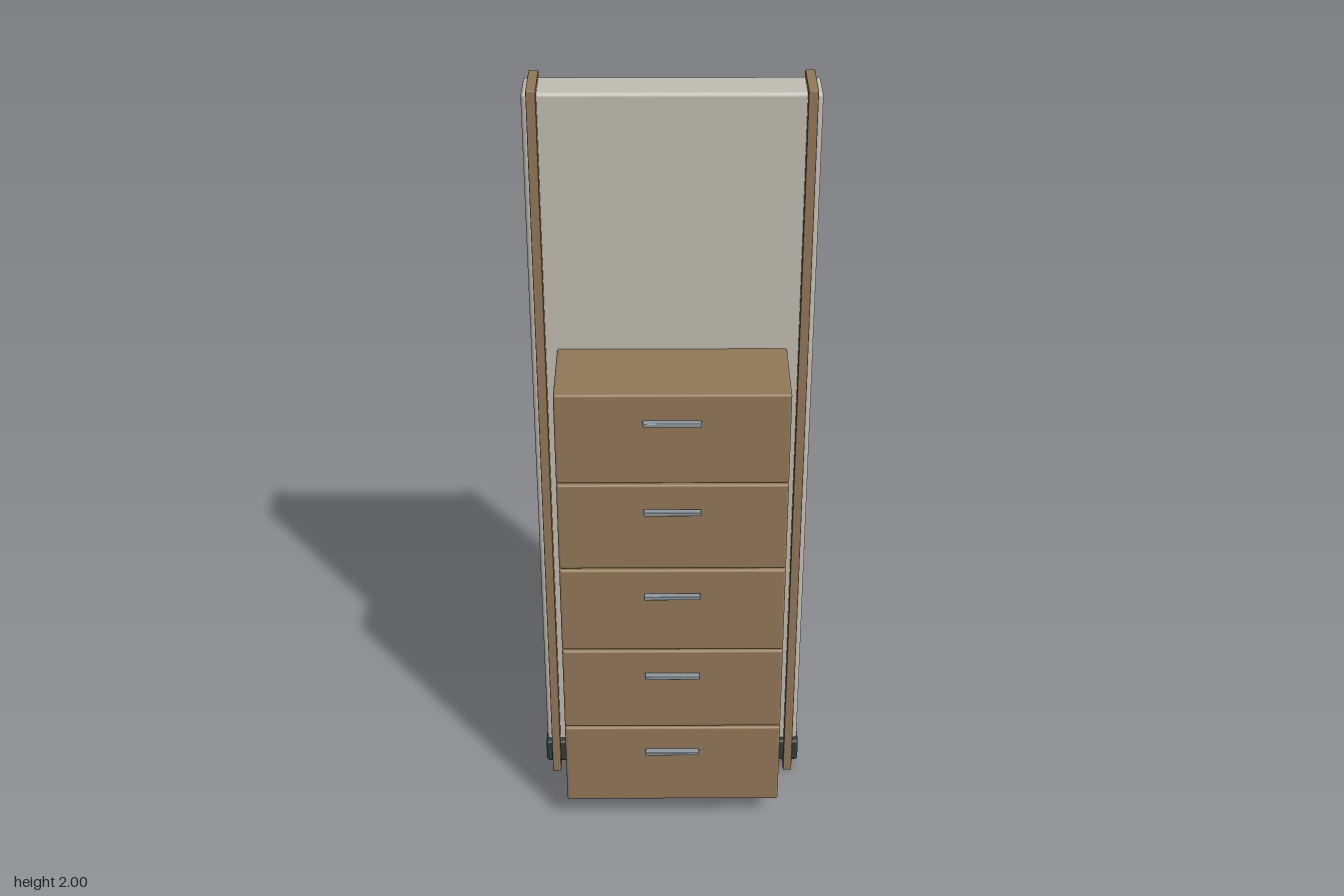
import * as THREE from 'three';
import { RoundedBoxGeometry } from 'three/addons/geometries/RoundedBoxGeometry.js';

const wood = new THREE.MeshStandardMaterial({ color: 0x927858 });
const board = new THREE.MeshStandardMaterial({ color: 0xc0bdb3 });
const dark = new THREE.MeshStandardMaterial({ color: 0x2e3d3d });
const metal = new THREE.MeshStandardMaterial({ color: 0x8c979d });

// Softened block given by its extents on each axis
function block(name, material, [x0, x1], [y0, y1], [z0, z1], radius) {
  const geometry = new RoundedBoxGeometry(x1 - x0, y1 - y0, z1 - z0, 3, radius);
  const mesh = new THREE.Mesh(geometry, material);
  mesh.name = name;
  mesh.position.set((x0 + x1) / 2, (y0 + y1) / 2, (z0 + z1) / 2);
  return mesh;
}

export function createModel() {
  const model = new THREE.Group();
  model.name = 'drawerWallUnit';

  // Tall back panel standing through a dark plinth
  model.add(block('backPanel', board, [-0.347, 0.347], [0.022, 1.985], [-0.18, -0.07], 0.01));
  model.add(block('plinth', dark, [-0.35, 0.35], [0.029, 0.098], [-0.1825, -0.052], 0.008));

  // Upright slabs, running past the panel at top and bottom
  for (const [name, x] of [['leftUpright', 0.322], ['rightUpright', -0.322]]) {
    model.add(block(name, wood, [x - 0.0115, x + 0.0115], [0, 2], [-0.1835, -0.045], 0.002));
  }

  // Stack of drawers with bar handles
  const pitch = 0.251;
  for (let i = 0; i < 5; i++) {
    const y = 0.075 + i * pitch;
    const drawer = new THREE.Group();
    drawer.name = `drawer${i + 1}`;
    drawer.add(block('drawerBox', wood, [-0.283, 0.283], [y, y + 0.246], [-0.074, 0.162], 0.006));
    drawer.add(block('handle', metal, [-0.071, 0.07], [y + 0.169, y + 0.179], [0.164, 0.1825], 0.002));
    model.add(drawer);
  }
  return model;
}
